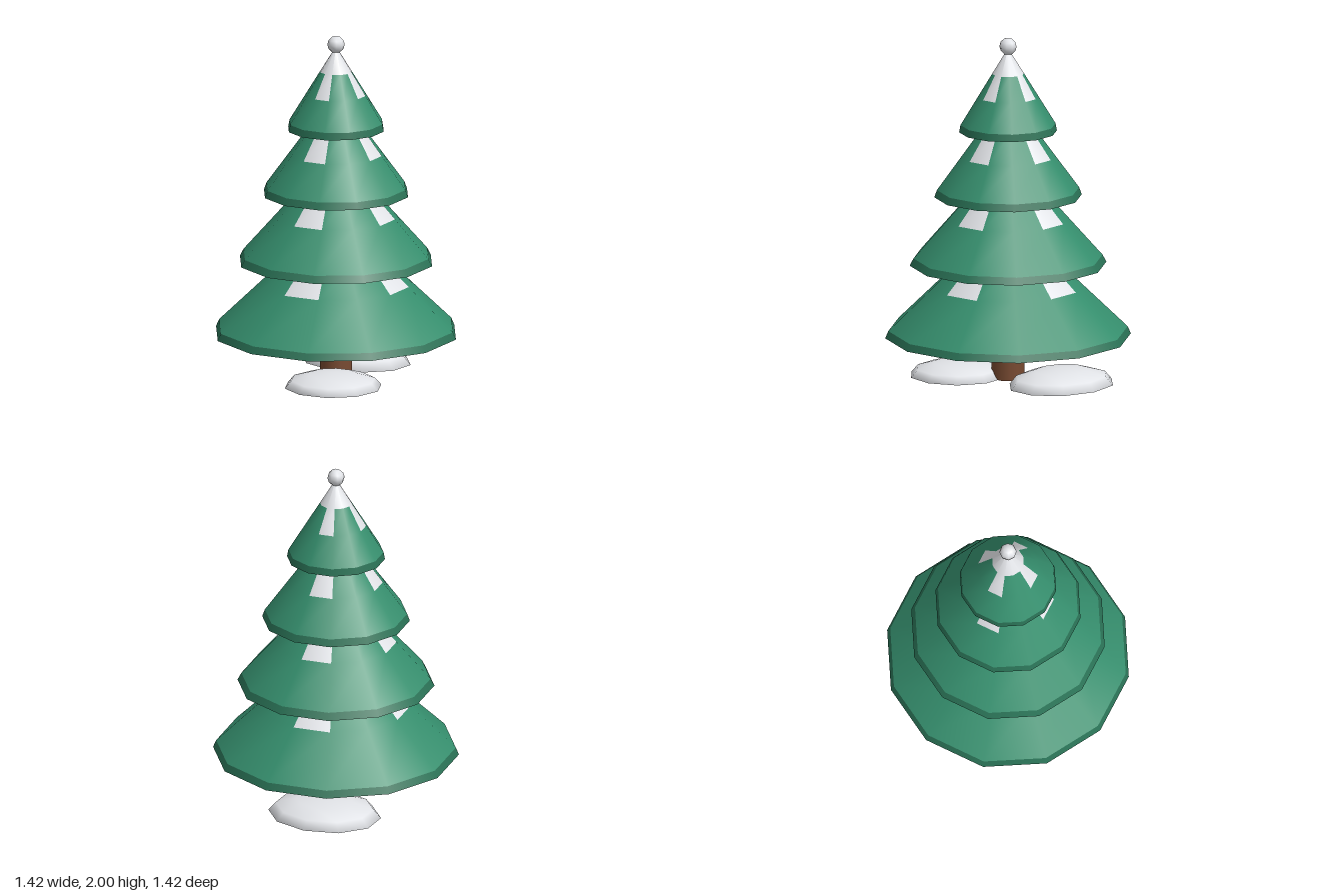
import * as THREE from 'three';

const mat = (name, color) => {
  const m = new THREE.MeshStandardMaterial({ color });
  m.name = name;
  return m;
};

export function createModel() {
  const green = mat('needle green', 0x358e6d);
  const darkGreen = mat('rim green', 0x2a7256);
  const snow = mat('snow white', 0xe6e8ec);
  const bark = mat('bark brown', 0x784a31);
  const tree = new THREE.Group();
  tree.name = 'snowyTree';

  const add = (parent, name, geometry, material, y = 0) => {
    const mesh = new THREE.Mesh(geometry, material);
    mesh.name = name;
    mesh.position.y = y;
    parent.add(mesh);
    return mesh;
  };

  // Open cone band between two heights, over part of the circle
  const band = (y0, r0, y1, r1, segments = 12, start = 0) =>
    new THREE.CylinderGeometry(r1, r0, y1 - y0, segments, 1, true, start, segments * Math.PI / 6)
      .translate(0, (y0 + y1) / 2, 0);

  // Trunk
  add(tree, 'trunk', new THREE.CylinderGeometry(0.095, 0.095, 0.27, 12), bark, 0.135);

  // Branch tiers: base, rim and top heights with radii, and where the snow patches end
  const tiers = [
    { base: 0.245, r: 0.708, rimR: 0.69, top: 0.69, topR: 0.275, patch: 0.54 },
    { base: 0.67, r: 0.567, rimR: 0.545, top: 1.09, topR: 0.212, patch: 0.935 },
    { base: 1.07, r: 0.425, rimR: 0.41, top: 1.47, topR: 0.15, patch: 1.305 },
    { base: 1.45, r: 0.282, rimR: 0.274, top: 1.79, topR: 0.092, patch: 1.655 },
  ];
  tiers.forEach((t, i) => {
    const tier = new THREE.Group();
    tier.name = `branchTier${i + 1}`;
    tree.add(tier);
    const rimY = t.base + 0.042;
    const patchR = THREE.MathUtils.mapLinear(t.patch, rimY, t.top, t.rimR, t.topR);

    add(tier, 'underside', new THREE.CircleGeometry(t.r, 12).rotateX(Math.PI / 2), darkGreen, t.base);
    add(tier, 'rim', band(t.base, t.r, rimY, t.rimR), darkGreen);
    add(tier, 'lowerBranches', band(rimY, t.rimR, t.patch, patchR), green);

    // Upper part alternates one snowy facet with two green ones
    for (let k = 0; k < 4; k++) {
      const a = k * Math.PI / 2;
      add(tier, 'snowPatch', band(t.patch, patchR, t.top, t.topR, 1, a), snow);
      add(tier, 'upperBranches', band(t.patch, patchR, t.top, t.topR, 2, a + Math.PI / 6), green);
    }
  });

  // Snowy tip and ball on top
  add(tree, 'snowCap', band(1.79, 0.092, 1.935, 0.003), snow);
  add(tree, 'topBall', new THREE.SphereGeometry(0.05, 8, 6), snow, 1.95);

  // Snow mounds at the foot: low domes with flat undersides
  const mound = (name, x, z, rx, h, rz, turn) => {
    const g = new THREE.Group();
    g.name = name;
    g.position.set(x, 0, z);
    g.rotation.y = turn;
    g.scale.set(rx, h, rz);
    add(g, 'dome', new THREE.SphereGeometry(1, 10, 3, 0, Math.PI * 2, 0, Math.PI / 2), snow);
    add(g, 'base', new THREE.CircleGeometry(1, 10).rotateX(Math.PI / 2), snow);
    tree.add(g);
  };
  mound('leftSnowMound', 0.325, -0.145, 0.275, 0.1, 0.335, 0.15);
  mound('rightSnowMound', -0.225, 0.19, 0.28, 0.085, 0.285, 0);

  return tree;
}
